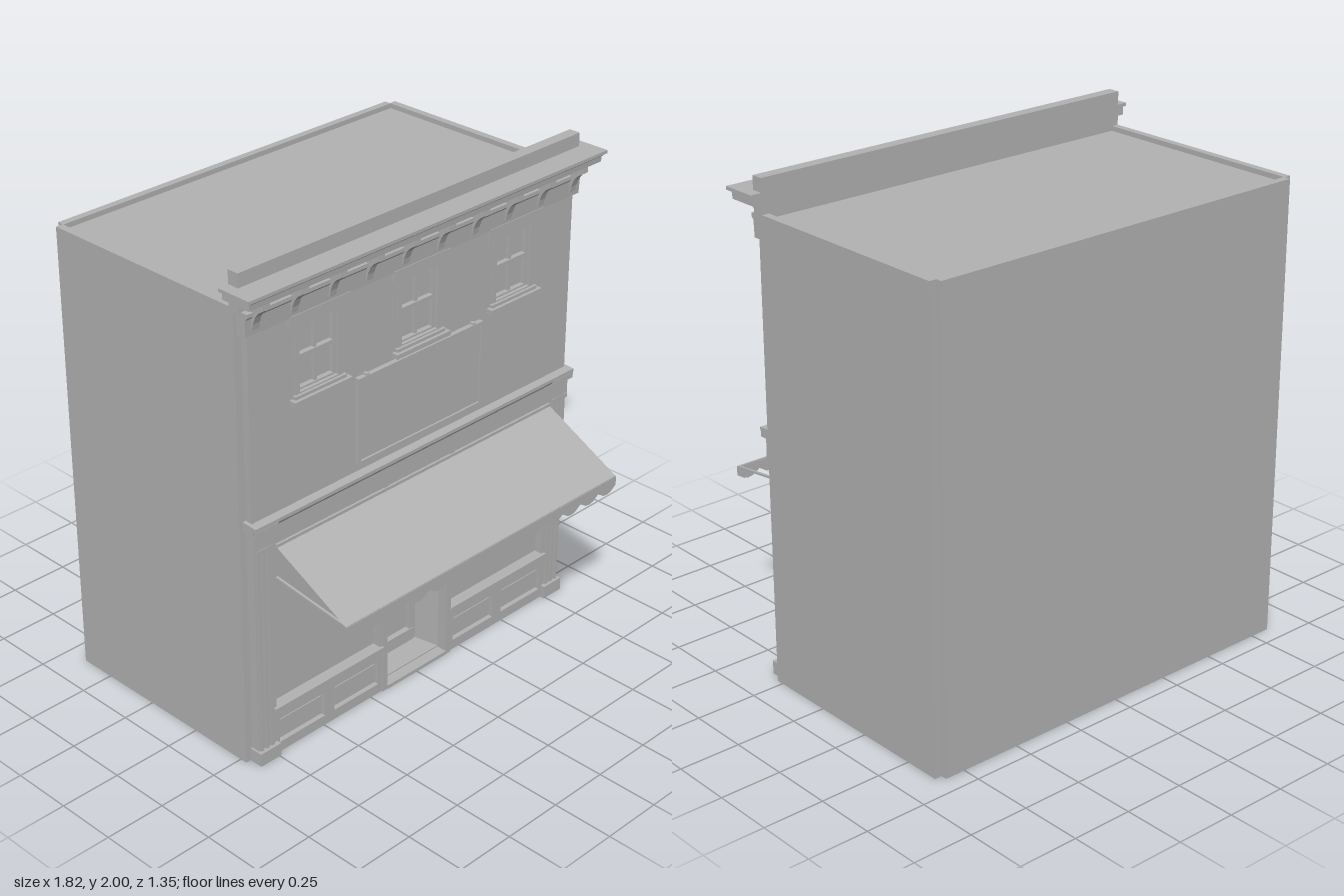
import * as THREE from 'three';

const stone = new THREE.MeshStandardMaterial({ color: 0xb2b2b2 });
stone.name = 'plain grey';
const cloth = stone.clone();
cloth.name = 'plain grey cloth';
cloth.side = THREE.DoubleSide;

export function createModel() {
  const root = new THREE.Group();
  root.name = 'shopBuilding';

  const add = (name, geo, mat = stone) => {
    const m = new THREE.Mesh(geo, mat);
    m.name = name;
    root.add(m);
    return m;
  };
  // box given by its limits on each axis
  const box = (name, x0, x1, y0, y1, z0, z1) => {
    const m = add(name, new THREE.BoxGeometry(x1 - x0, y1 - y0, z1 - z0));
    m.position.set((x0 + x1) / 2, (y0 + y1) / 2, (z0 + z1) / 2);
    return m;
  };
  const poly = (pts) => new THREE.Shape(pts.map(([x, y]) => new THREE.Vector2(x, y)));
  const rect = (x0, x1, y0, y1) => poly([[x0, y0], [x1, y0], [x1, y1], [x0, y1]]);
  // upright sheet in the xy plane with rectangular holes
  const sheet = (name, r, holes, z0, z1) => {
    const s = rect(...r);
    s.holes = holes.map((h) => rect(...h));
    const m = add(name, new THREE.ExtrudeGeometry(s, { depth: z1 - z0, bevelEnabled: false }));
    m.position.z = z0;
    return m;
  };
  const frame = (name, x0, x1, y0, y1, t, z0, z1) =>
    sheet(name, [x0, x1, y0, y1], [[x0 + t, x1 - t, y0 + t, y1 - t]], z0, z1);
  // floor plan (x, z) raised between two heights
  const storey = (name, plan, y0, y1, hole) => {
    const s = poly(plan.map(([x, z]) => [x, -z]));
    if (hole) s.holes.push(rect(...hole));
    const g = new THREE.ExtrudeGeometry(s, { depth: y1 - y0, bevelEnabled: false });
    g.rotateX(-Math.PI / 2);
    add(name, g).position.y = y0;
  };
  // profile (z, y) swept along x
  const moulding = (name, pts, x0, x1) => {
    const g = new THREE.ExtrudeGeometry(poly(pts.map(([z, y]) => [-z, y])), { depth: x1 - x0, bevelEnabled: false });
    g.rotateY(Math.PI / 2);
    add(name, g).position.x = x0;
  };

  // main block with notched back corners, recessed roof and underside
  const back = [[0.865, 0.28], [0.865, -0.65], [0.835, -0.65], [0.835, -0.675],
    [-0.835, -0.675], [-0.835, -0.65], [-0.865, -0.65], [-0.865, 0.28]];
  const entry = [[-0.165, 0.28], [-0.14, 0.15], [0.14, 0.15], [0.165, 0.28]];
  storey('lowerWalls', [...back, ...entry], 0.02, 0.9);
  storey('upperWalls', back, 0.9, 1.845);
  storey('roofRim', back, 1.845, 1.865, [-0.835, 0.835, -0.26, 0.645]);
  storey('baseRim', back, 0, 0.02, [-0.8, 0.8, -0.23, 0.62]);

  // upper front wall with three window openings
  const windows = [-0.505, 0, 0.505];
  sheet('frontWall', [-0.835, 0.835, 0.9, 1.865],
    windows.map((x) => [x - 0.105, x + 0.105, 1.445, 1.73]), 0.28, 0.31);
  for (const x of windows) {
    frame('windowCasing', x - 0.115, x + 0.115, 1.44, 1.735, 0.022, 0.285, 0.314);
    frame('windowSash', x - 0.095, x + 0.095, 1.455, 1.725, 0.014, 0.28, 0.3);
    box('windowMullion', x - 0.006, x + 0.006, 1.455, 1.725, 0.28, 0.295);
    box('windowRail', x - 0.09, x + 0.09, 1.58, 1.598, 0.28, 0.3);
    box('windowSill', x - 0.14, x + 0.14, 1.427, 1.445, 0.29, 0.338);
    box('sillApron', x - 0.125, x + 0.125, 1.445, 1.457, 0.29, 0.325);
    box('windowLintel', x - 0.145, x + 0.145, 1.727, 1.77, 0.29, 0.325);
  }

  // frieze, brackets, cornice and parapet
  box('frieze', -0.835, 0.835, 1.76, 1.9, 0.27, 0.315);
  moulding('friezeBand', [[0.28, 1.765], [0.322, 1.765], [0.326, 1.83], [0.335, 1.84], [0.335, 1.855], [0.28, 1.855]], -0.855, 0.855);
  for (let i = 0; i < 10; i++) {
    const x = -0.812 + i * 0.1804;
    moulding('bracket', [[0.31, 1.785], [0.328, 1.785], [0.333, 1.81], [0.345, 1.84],
      [0.362, 1.86], [0.384, 1.875], [0.384, 1.905], [0.31, 1.905]], x - 0.016, x + 0.016);
  }
  moulding('cornice', [[0.26, 1.9], [0.39, 1.9], [0.392, 1.922], [0.404, 1.932], [0.404, 1.945], [0.26, 1.945]], -0.895, 0.895);
  box('corniceCap', -0.91, 0.91, 1.933, 1.946, 0.258, 0.406);
  box('parapet', -0.865, 0.865, 1.85, 2, 0.258, 0.306);

  // blank sign board
  box('signBoard', -0.32, 0.32, 1.075, 1.41, 0.3, 0.322);
  frame('signFrame', -0.327, 0.327, 1.068, 1.415, 0.01, 0.3, 0.33);
  for (const x of [-0.28, 0.28]) box('signHook', x - 0.007, x + 0.007, 1.41, 1.422, 0.3, 0.328);

  // shopfront fascia and its cornice
  box('fascia', -0.84, 0.84, 0.915, 1.0, 0.28, 0.326);
  moulding('shopCornice', [[0.28, 0.995], [0.33, 0.995], [0.338, 1.01], [0.346, 1.014], [0.346, 1.028], [0.28, 1.032]], -0.85, 0.85);

  for (const s of [-1, 1]) {
    const side = (name, a, b, ...r) => box(name, Math.min(s * a, s * b), Math.max(s * a, s * b), ...r);
    // fluted pilaster
    side('corniceBlock', 0.74, 0.848, 0.99, 1.012, 0.28, 0.345);
    side('pilaster', 0.755, 0.835, 0, 0.92, 0.28, 0.318);
    for (let i = 0; i < 3; i++) side('pilasterRib', 0.762 + i * 0.026, 0.777 + i * 0.026, 0.05, 0.905, 0.31, 0.326);
    side('pilasterBase', 0.742, 0.843, 0, 0.055, 0.28, 0.338);
    side('pilasterCap', 0.75, 0.84, 0.9, 0.92, 0.28, 0.328);
    // display window
    const x0 = s > 0 ? 0.185 : -0.755, x1 = x0 + 0.57;
    frame('displayWindowFrame', x0, x1, 0.19, 0.915, 0.014, 0.28, 0.315);
    box('displaySill', x0, x1, 0.185, 0.207, 0.28, 0.328);
    // panelled stall riser
    const panels = [[0.21, 0.445], [0.495, 0.73]].map(([a, b]) =>
      [Math.min(s * a, s * b), Math.max(s * a, s * b), 0.042, 0.147]);
    sheet('stallRiser', [x0, x1, 0, 0.19], panels, 0.28, 0.318);
    for (const p of panels) box('riserPanel', p[0] + 0.012, p[1] - 0.012, 0.054, 0.135, 0.28, 0.31);
    // doorway posts
    side('doorPost', 0.165, 0.19, 0, 0.915, 0.28, 0.324);
    side('doorJamb', 0.135, 0.15, 0.02, 0.9, 0.15, 0.175);
  }

  // recessed door
  box('doorstep', -0.165, 0.165, 0, 0.015, 0.15, 0.326);
  box('doorHead', -0.165, 0.165, 0.9, 0.917, 0.27, 0.318);
  frame('doorFrame', -0.136, 0.136, 0.016, 0.68, 0.018, 0.15, 0.17);
  box('doorKickRail', -0.135, 0.135, 0.016, 0.07, 0.15, 0.174);
  box('transomBar', -0.14, 0.14, 0.68, 0.7, 0.15, 0.175);
  box('doorPushBar', -0.115, 0.115, 0.33, 0.344, 0.165, 0.185);

  // sloping awning with scalloped valance and side arms
  const w = 0.735, rise = 0.18, run = 0.353;
  const slope = add('awning', new THREE.PlaneGeometry(2 * w, Math.hypot(rise, run)), cloth);
  slope.position.set(0, 0.812, 0.4985);
  slope.rotation.x = -Math.atan2(run, rise);
  const edge = [[-w, 0.722], [-w, 0.69]];
  const n = 14, step = (2 * w) / n;
  for (let i = 0; i < n; i++) {
    const x = -w + i * step;
    edge.push([x + step * 0.3, 0.665], [x + step * 0.5, 0.661], [x + step * 0.7, 0.665], [x + step, 0.685]);
  }
  edge.push([w, 0.722]);
  add('valance', new THREE.ShapeGeometry(poly(edge)), cloth).position.z = 0.675;
  box('awningBar', -w, w, 0.717, 0.725, 0.664, 0.674);
  box('awningRoller', -w, w, 0.895, 0.91, 0.31, 0.33);
  for (const x of [-0.728, 0.728]) {
    const arm = add('awningArm', new THREE.BoxGeometry(0.01, 0.008, 0.355));
    arm.position.set(x, 0.743, 0.493);
    arm.rotation.x = Math.atan2(0.044, 0.35);
  }
  return root;
}
